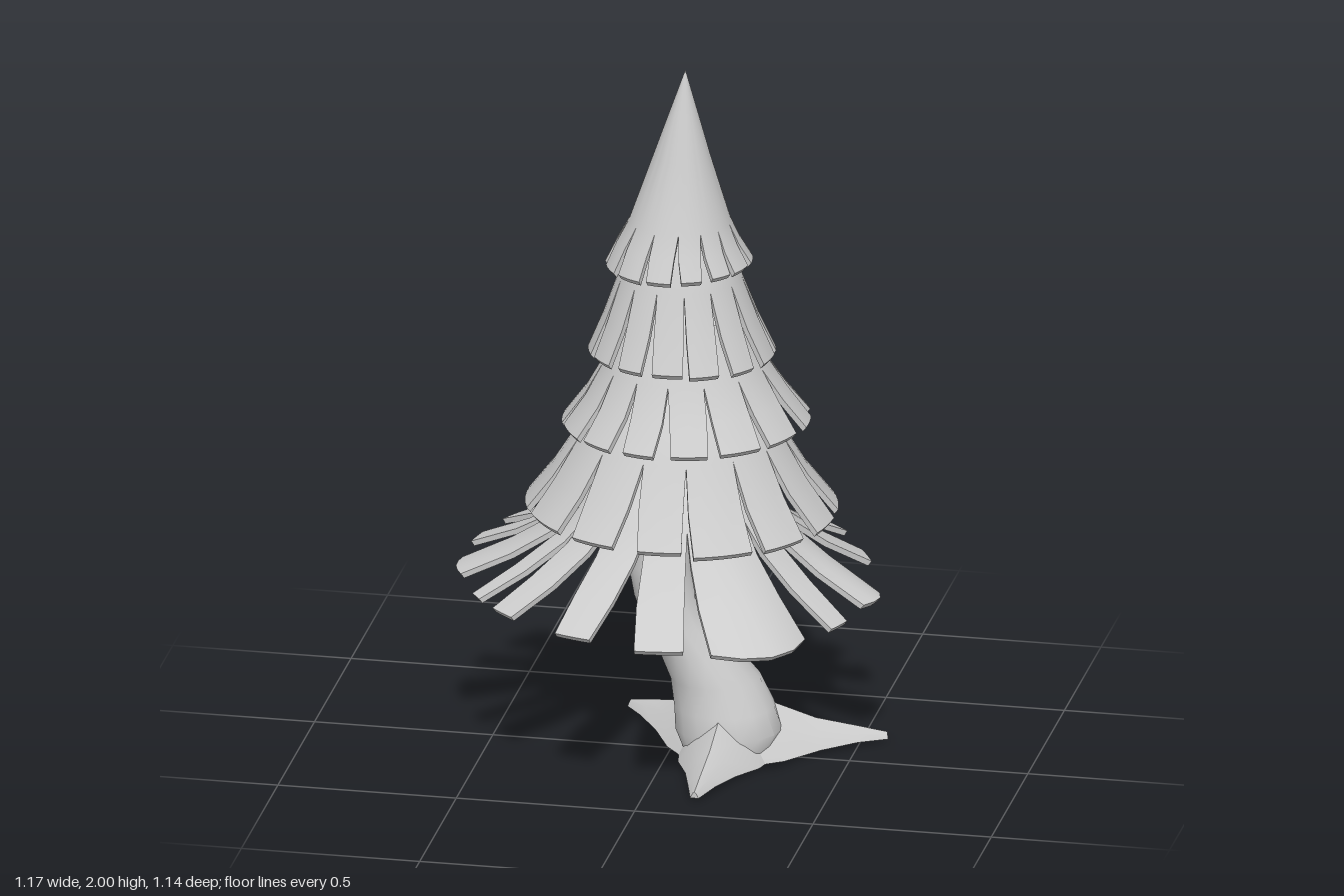
import * as THREE from 'three';
import { toCreasedNormals } from 'three/addons/utils/BufferGeometryUtils.js';

const material = new THREE.MeshStandardMaterial({ color: 0xcccccc });
const V = (x, y, z) => new THREE.Vector3(x, y, z);
const wobble = (n) => Math.sin(n * 12.9898 + 4.1);

// Collects quads and turns them into a mesh with creased normals
function quadMesh(name, crease, fill) {
  const pos = [];
  const tri = (a, b, c) => {
    if (a.distanceTo(b) > 1e-5 && b.distanceTo(c) > 1e-5 && c.distanceTo(a) > 1e-5) {
      for (const p of [a, b, c]) pos.push(p.x, p.y, p.z);
    }
  };
  fill((a, b, c, d) => { tri(a, b, c); tri(a, c, d); });
  const geo = new THREE.BufferGeometry();
  geo.setAttribute('position', new THREE.Float32BufferAttribute(pos, 3));
  const mesh = new THREE.Mesh(toCreasedNormals(geo, crease), material);
  mesh.name = name;
  return mesh;
}

// Skin over a list of closed rings, capped at both ends
function loft(name, rings, crease) {
  return quadMesh(name, crease, (quad) => {
    const n = rings[0].length;
    for (let i = 0; i < rings.length - 1; i++) {
      for (let j = 0; j < n; j++) {
        const k = (j + 1) % n;
        quad(rings[i][j], rings[i][k], rings[i + 1][k], rings[i + 1][j]);
      }
    }
    const first = rings[0], last = rings[rings.length - 1];
    for (let j = 1; j < n - 1; j++) {
      quad(first[0], first[j + 1], first[j], first[j]);
      quad(last[0], last[j], last[j + 1], last[j + 1]);
    }
  });
}

// Thick cone shell that splits into flaps below row `gap`.
// profile rows: [radius, y, centre x]; flaps: [start, end, stretch] tip angles in degrees
function tier(name, profile, gap, flaps, droop) {
  const cols = 4, last = profile.length - 1, n = flaps.length;
  return quadMesh(name, 0.6, (quad) => {
    flaps.forEach(([t0, t1, stretch = 1], f) => {
      const prev = flaps[(f + n - 1) % n][1] - (f === 0 ? 360 : 0);
      const next = flaps[(f + 1) % n][0] + (f === n - 1 ? 360 : 0);
      const r0 = (prev + t0) / 2, r1 = (t1 + next) / 2;
      const point = (i, j, inner) => {
        const [r, y, cx] = profile[i];
        const t = Math.max(0, (i - gap) / (last - gap)), u = j / cols;
        const a0 = r0 + (t0 - r0) * t, a1 = r1 + (t1 - r1) * t;
        const a = (a0 + (a1 - a0) * u) * Math.PI / 180;
        const bulge = 1 + t * ((stretch - 1) * Math.sin(Math.PI * u) + 0.025 * wobble(f));
        const rad = Math.max(0, r * bulge - (inner ? 0.01 : 0));
        const drop = t * t * droop((t0 + t1) / 2, f) + (inner ? 0.013 : 0);
        return V(cx + rad * Math.cos(a), y - drop, rad * Math.sin(a));
      };
      for (let i = 0; i < last; i++) {
        for (let j = 0; j < cols; j++) {
          const o = [point(i, j), point(i, j + 1), point(i + 1, j + 1), point(i + 1, j)];
          const b = [point(i, j, 1), point(i, j + 1, 1), point(i + 1, j + 1, 1), point(i + 1, j, 1)];
          quad(...o);
          quad(b[3], b[2], b[1], b[0]);
          if (i >= gap && j === 0) quad(o[0], o[3], b[3], b[0]);
          if (i >= gap && j === cols - 1) quad(o[1], b[1], b[2], o[2]);
          if (i === last - 1) quad(o[3], o[2], b[2], b[3]);
        }
      }
    });
  });
}

// Uneven ring of flaps for the upper tiers, the first one centred near `phase` degrees
function flapRing(n, phase) {
  const step = 360 / n;
  return Array.from({ length: n }, (_, k) => {
    const mid = k * step + phase + 0.16 * step * wobble(k + phase);
    const half = step * (0.36 + 0.06 * wobble(k * 3 + phase));
    return [mid - half, mid + half];
  });
}

// Root: ridged cross-sections shrinking from the trunk to the tip
function root(name, x, z) {
  const from = V(0.16, 0, -0.01), to = V(x, 0, z);
  const dir = to.clone().sub(from).normalize(), side = V(-dir.z, 0, dir.x);
  // [position along, half width, underside height, ridge height]
  const sections = [[0, 0.14, 0.004, 0.19], [0.3, 0.115, 0.006, 0.135], [0.55, 0.07, 0.014, 0.085],
    [0.8, 0.038, 0.018, 0.055], [1, 0.012, 0.012, 0.03]];
  const outline = [[-1, 0], [-0.55, 0.6], [0, 1], [0.55, 0.6], [1, 0]];
  return loft(name, sections.map(([t, w, low, high]) => outline.map(([s, up]) =>
    from.clone().lerp(to, t).addScaledVector(side, s * w).setY(low + up * (high - low)))), 0.7);
}

export function createModel() {
  const model = new THREE.Group();
  model.name = 'crookedPine';

  // Bent trunk: [y, centre x, centre z, x radius, z radius]
  const bends = [[0.012, 0.16, 0, 0.12, 0.12], [0.08, 0.16, -0.01, 0.15, 0.145], [0.14, 0.145, -0.02, 0.14, 0.135],
    [0.22, 0.12, -0.02, 0.125, 0.125], [0.3, 0.07, -0.015, 0.107, 0.11], [0.38, 0.02, -0.005, 0.093, 0.1],
    [0.46, -0.015, 0, 0.088, 0.094], [0.55, -0.03, 0, 0.09, 0.09], [0.66, -0.02, 0, 0.085, 0.085], [0.85, 0.01, 0, 0.07, 0.07]];
  model.add(loft('trunk', bends.map(([y, cx, cz, rx, rz]) => Array.from({ length: 16 }, (_, k) => {
    const a = -k * Math.PI / 8;
    return V(cx + rx * Math.cos(a), y, cz + rz * Math.sin(a));
  })), 0.9));

  // Three spreading roots
  model.add(root('leftRoot', 0.57, -0.175), root('frontRoot', 0.145, 0.39), root('backRightRoot', -0.17, -0.28));

  // Loose slab of bark against the trunk, under the needles
  const slab = new THREE.Mesh(new THREE.BoxGeometry(0.03, 0.3, 0.1), material);
  slab.name = 'barkSlab';
  slab.position.set(0.085, 0.55, -0.03);
  model.add(slab);

  // Flared bottom skirt with flaps of very different widths
  const skirt = [[-7, 7, 1.05], [18, 26], [37, 67, 1.12], [75, 89], [102, 113], [129, 138], [145, 150], [164, 177, 1.02],
    [188, 196], [206, 220], [232, 239], [253, 267], [275, 292], [307, 317], [327, 337]];
  model.add(tier('bottomSkirt',
    [[0, 0.9, 0.02], [0.2, 0.82, 0.015], [0.265, 0.735, 0.01], [0.33, 0.665, 0.005], [0.44, 0.595, 0], [0.57, 0.535, 0]], 2, skirt,
    (a, f) => 0.05 * Math.max(0, Math.cos((a - 25) * Math.PI / 180)) + 0.012 * wobble(f + 5)));

  // Upper tiers, lowest first: profile, number of flaps, phase
  const uppers = [
    ['lowerTier', [[0, 1.2, 0.04], [0.2, 1.08, 0.03], [0.285, 0.94, 0.025], [0.355, 0.825, 0.02], [0.43, 0.728, 0.02]], 13, 90],
    ['middleTier', [[0, 1.4, 0.03], [0.16, 1.3, 0.04], [0.225, 1.15, 0.04], [0.28, 1.06, 0.045], [0.342, 0.978, 0.045]], 14, 22],
    ['upperTier', [[0, 1.65, 0.03], [0.12, 1.54, 0.025], [0.17, 1.4, 0.025], [0.215, 1.28, 0.025], [0.258, 1.183, 0.025]], 13, 87],
    ['topCone', [[0, 2, 0.04], [0.078, 1.75, 0.03], [0.14, 1.56, 0.025], [0.17, 1.5, 0.02], [0.202, 1.44, 0.02]], 13, 44],
  ];
  uppers.forEach(([name, profile, count, phase], k) => {
    model.add(tier(name, profile, 2, flapRing(count, phase), (a, f) => 0.01 * wobble(f + k)));
  });
  return model;
}
